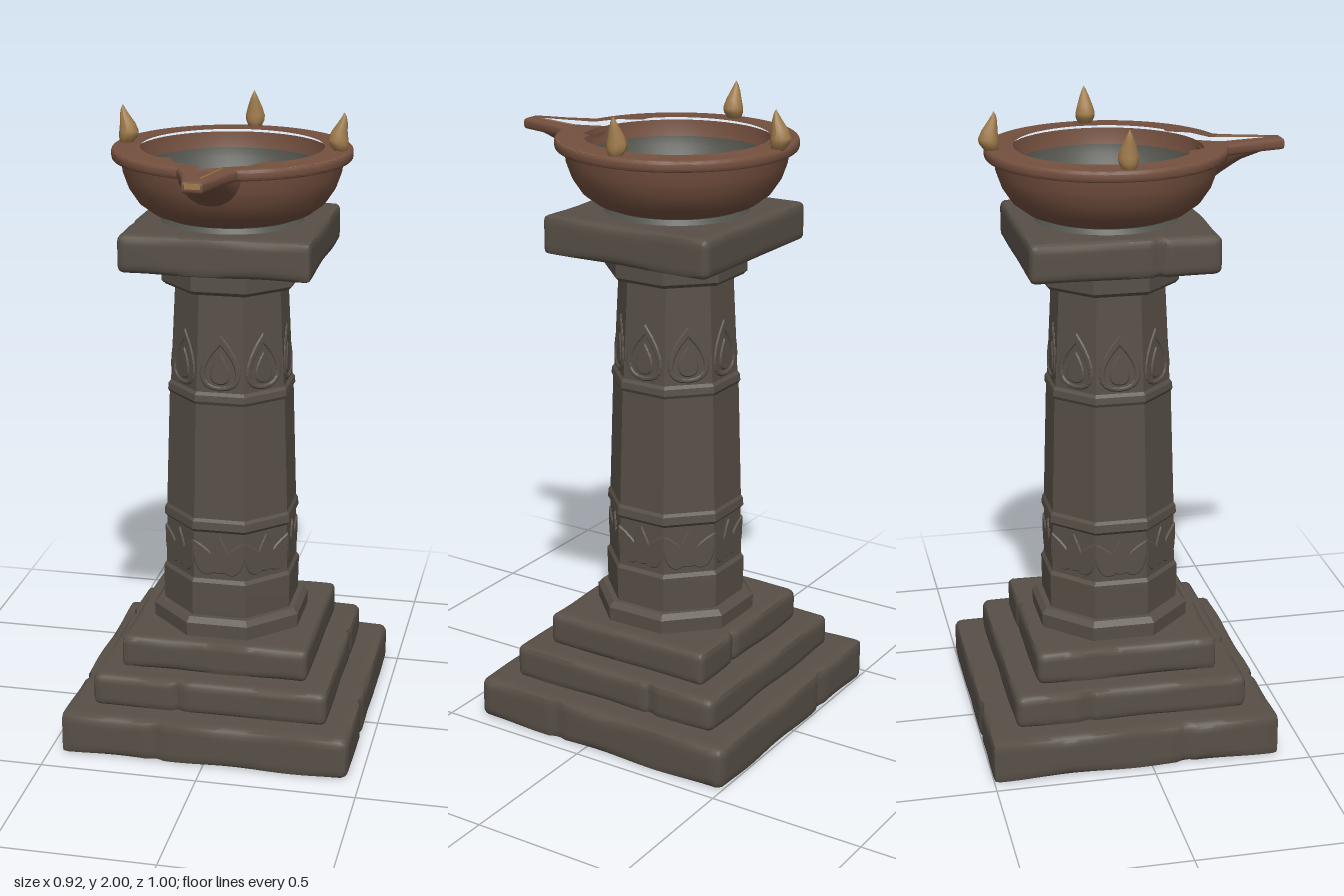
import * as THREE from 'three';
import { toCreasedNormals, mergeVertices } from 'three/addons/utils/BufferGeometryUtils.js';

const CZ = -0.047; // axis of the pedestal
const mat = (name, color) => Object.assign(new THREE.MeshStandardMaterial({ color }), { name });

export function createModel() {
  const stone = mat('weathered stone', 0x585047);
  const clay = mat('fired clay', 0x74503f);
  const ash = mat('ash grey', 0x54544e);
  const gold = mat('old gold', 0xa07c4c);
  const model = new THREE.Group();

  const add = (name, geo, material, x = 0, y = 0, z = 0, parent = model) => {
    const mesh = new THREE.Mesh(geo, material);
    mesh.name = name;
    mesh.position.set(x, y, z);
    parent.add(mesh);
    return mesh;
  };
  const v2 = (list) => list.map(([a, b]) => new THREE.Vector2(a, b));

  // Worn stone slab: rounded edges of varying wear, with cracks cut into the rim
  function slab(name, w, d, y0, y1, cracks = []) {
    const h = y1 - y0, half = new THREE.Vector3(w / 2, h / 2, d / 2);
    let geo = new THREE.BoxGeometry(w, h, d, 44, 8, 44);
    geo.deleteAttribute('normal');
    geo.deleteAttribute('uv');
    geo = mergeVertices(geo);
    const pos = geo.attributes.position, p = new THREE.Vector3(), c = new THREE.Vector3();
    for (let i = 0; i < pos.count; i++) {
      p.fromBufferAttribute(pos, i);
      const wear = 0.019 + 0.007 * Math.sin(p.x * 17 + y0 * 30) * Math.cos(p.z * 15 + y0 * 20);
      c.set(...['x', 'y', 'z'].map((k) => THREE.MathUtils.clamp(p[k], -half[k] + wear, half[k] - wear)));
      const off = p.clone().sub(c);
      if (off.length() > wear) p.copy(c).addScaledVector(off.normalize(), wear);
      for (const [axis, side, at] of cracks) {
        const along = axis === 'z' ? 'x' : 'z';
        const near = Math.max(0, 1 - Math.abs(p[along] - at) / 0.022);
        if (p[axis] * side > half[axis] - 0.035) p[axis] -= side * 0.015 * near;
      }
      pos.setXYZ(i, p.x, p.y, p.z);
    }
    add(name, toCreasedNormals(geo, 0.6), stone, 0, (y0 + y1) / 2, CZ);
  }
  slab('bottomStep', 0.92, 0.91, 0, 0.135, [['z', 1, -0.155], ['z', -1, -0.175], ['x', 1, 0.155], ['x', -1, 0.155]]);
  slab('middleStep', 0.752, 0.736, 0.133, 0.24, [['z', 1, -0.1], ['x', 1, -0.14], ['x', -1, -0.14]]);
  slab('topStep', 0.6, 0.575, 0.238, 0.345, [['z', -1, 0.1]]);
  slab('capitalSlab', 0.59, 0.58, 1.54, 1.66, [['x', -1, 0.1]]);

  // Eight-sided pieces, given by the distance from axis to flat
  function octagon(name, profile) {
    const pts = v2(profile.map(([a, y]) => [a / Math.cos(Math.PI / 8), y]));
    add(name, toCreasedNormals(new THREE.LatheGeometry(pts, 8, Math.PI / 8), 0.2), stone, 0, 0, CZ);
  }
  octagon('columnFoot', [[0, 0.34], [0.235, 0.34], [0.237, 0.39], [0.222, 0.407], [0, 0.407]]);
  octagon('columnShaft', [[0.205, 0.4], [0.207, 0.5], [0.207, 0.52], [0.199, 0.532], [0.196, 0.69], [0.204, 0.7],
    [0.202, 0.725], [0.196, 0.735], [0.185, 1.11], [0.19, 1.12], [0.188, 1.14], [0.181, 1.15], [0.166, 1.47]]);
  octagon('columnCollar', [[0, 1.463], [0.195, 1.463], [0.206, 1.475], [0.206, 1.53], [0.2, 1.545], [0, 1.545]]);

  // Carved drops and leaves on each flat of the column
  function dropPath(Path, w, h) {
    const s = new Path();
    s.moveTo(0, 0);
    s.bezierCurveTo(w * 0.7, 0, w * 0.75, h * 0.45, 0, h);
    s.bezierCurveTo(-w * 0.75, h * 0.45, -w * 0.7, 0, 0, 0);
    return s;
  }
  const carve = (shape) => new THREE.ExtrudeGeometry(shape, {
    depth: 0.005, curveSegments: 8, bevelSize: 0.004, bevelThickness: 0.004, bevelOffset: -0.004, bevelSegments: 1,
  });
  const ring = dropPath(THREE.Shape, 0.12, 0.18);
  ring.holes.push(new THREE.Path(dropPath(THREE.Path, 0.088, 0.13).getPoints(8).map((p) => p.setY(p.y + 0.014))));
  const ringGeo = carve(ring), coreGeo = carve(dropPath(THREE.Shape, 0.058, 0.1));
  const leafGeo = carve(dropPath(THREE.Shape, 0.065, 0.13));
  for (let i = 0; i < 8; i++) {
    const face = new THREE.Group();
    face.name = 'carvedFace';
    face.position.z = CZ;
    face.rotation.y = i * Math.PI / 4;
    model.add(face);
    for (const [name, geo, y] of [['dropOutline', ringGeo, 1.155], ['dropCore', coreGeo, 1.175]]) {
      add(name, geo, stone, 0, y, 0.177 - (y - 1.155) * 0.05, face).rotation.x = -0.05;
    }
    for (const s of [-1, 0, 1]) add('leaf', leafGeo, stone, s * 0.022, 0.55, 0.193, face).rotation.z = -s * 0.5;
  }

  // Bowl: foot, outer shell, and inside with a grey band round the wall
  const lathe = (name, pts, material) =>
    add(name, toCreasedNormals(new THREE.LatheGeometry(v2(pts), 48), 0.6), material, 0, 0, -0.05);
  lathe('bowlFoot', [[0.225, 1.655], [0.212, 1.675], [0.222, 1.695]], ash);
  lathe('bowlOutside', [[0, 1.678], [0.215, 1.678], [0.25, 1.69], [0.29, 1.72], [0.32, 1.765], [0.336, 1.81], [0.342, 1.855]], clay);
  lathe('bowlInnerWall', [[0.295, 1.875], [0.292, 1.85], [0.285, 1.825]], clay);
  lathe('bowlGreyBand', [[0.285, 1.825], [0.278, 1.795], [0.258, 1.765]], ash);
  lathe('bowlFloor', [[0.258, 1.765], [0.2, 1.745], [0.1, 1.732], [0, 1.728]], clay);

  // Rim plate drawn out into the spout, with an opening and pouring groove
  const rim = new THREE.Shape();
  rim.moveTo(0.03, 0.5);
  rim.lineTo(0.058, 0.39);
  rim.lineTo(0.09, 0.309);
  rim.absarc(0, -0.05, 0.37, 1.325, Math.PI - 1.325, true);
  rim.lineTo(-0.058, 0.39);
  rim.lineTo(-0.03, 0.5);
  rim.closePath();
  const side = [[0.008, 0.46], [0.045, 0.285], [0.12, 0.245], [0.15, 0.18], [0.187, 0.175]];
  const opening = new THREE.Path();
  opening.moveTo(...side[0]);
  side.slice(1).forEach(([x, z]) => opening.lineTo(x, z));
  opening.absarc(0, -0.05, 0.292, 0.876, Math.PI - 0.876, true);
  [...side].reverse().forEach(([x, z]) => opening.lineTo(-x, z));
  rim.holes.push(opening);
  const rimGeo = new THREE.ExtrudeGeometry(rim, {
    depth: 0.015, curveSegments: 48, bevelSize: 0.01, bevelThickness: 0.01, bevelOffset: -0.01, bevelSegments: 3,
  });
  rimGeo.rotateX(Math.PI / 2);
  add('rim', toCreasedNormals(rimGeo, 0.6), clay, 0, 1.875, 0);

  // Underside of the spout: half-round sections [z, half width, lowest y]
  const sections = [[0.24, 0.115, 1.745], [0.3, 0.085, 1.785], [0.36, 0.066, 1.822], [0.43, 0.045, 1.845], [0.492, 0.028, 1.853]];
  const n = 11, verts = [], idx = [], top = 1.862;
  sections.forEach(([z, w, low], i) => {
    for (let j = 0; j < n; j++) {
      const a = Math.PI * j / (n - 1);
      verts.push(w * Math.cos(a), top - (top - low) * Math.sin(a), z);
      if (i === sections.length - 1) continue;
      const p = i * n + j, q = i * n + (j + 1) % n;
      idx.push(p, p + n, q, q, p + n, q + n);
    }
  });
  const last = (sections.length - 1) * n;
  for (let j = 1; j < n - 1; j++) idx.push(0, j, j + 1, last, last + j + 1, last + j);
  const spoutGeo = new THREE.BufferGeometry();
  spoutGeo.setAttribute('position', new THREE.Float32BufferAttribute(verts, 3));
  spoutGeo.setIndex(idx);
  add('spout', toCreasedNormals(spoutGeo, 0.7), clay);

  // Worn gilding on the rim edge, groove and spout tip
  for (const [start, arc] of [[0.12, 0.2], [0.36, 0.3], [0.7, 0.22]]) {
    const geo = new THREE.TorusGeometry(0.3625, 0.0045, 5, 14, arc).rotateZ(start).rotateX(Math.PI / 2);
    add('rimGilding', geo, gold, 0, 1.88, -0.05);
  }
  add('grooveGilding', new THREE.BoxGeometry(0.004, 0.004, 0.15), gold, 0.028, 1.885, 0.375).rotation.y = -0.208;
  add('tipGilding', new THREE.BoxGeometry(0.046, 0.016, 0.008), gold, 0, 1.872, 0.497);

  // Three small flames standing on the rim, tips leaning slightly
  const flameGeo = new THREE.LatheGeometry(v2([[0, -0.004], [0.02, -0.002], [0.03, 0.02], [0.031, 0.035], [0.024, 0.06],
    [0.015, 0.085], [0.007, 0.104], [0, 0.117]]), 12);
  const fp = flameGeo.attributes.position;
  for (let i = 0; i < fp.count; i++) {
    const t = Math.max(0, fp.getY(i) / 0.117);
    fp.setX(i, fp.getX(i) + 0.009 * Math.sin(t * 5));
  }
  flameGeo.computeVertexNormals();
  for (const [x, z, turn] of [[-0.335, -0.052, 0], [0.335, -0.052, Math.PI], [0, -0.4, Math.PI / 2]]) {
    add('flame', flameGeo, gold, x, 1.883, z).rotation.y = turn;
  }
  return model;
}
